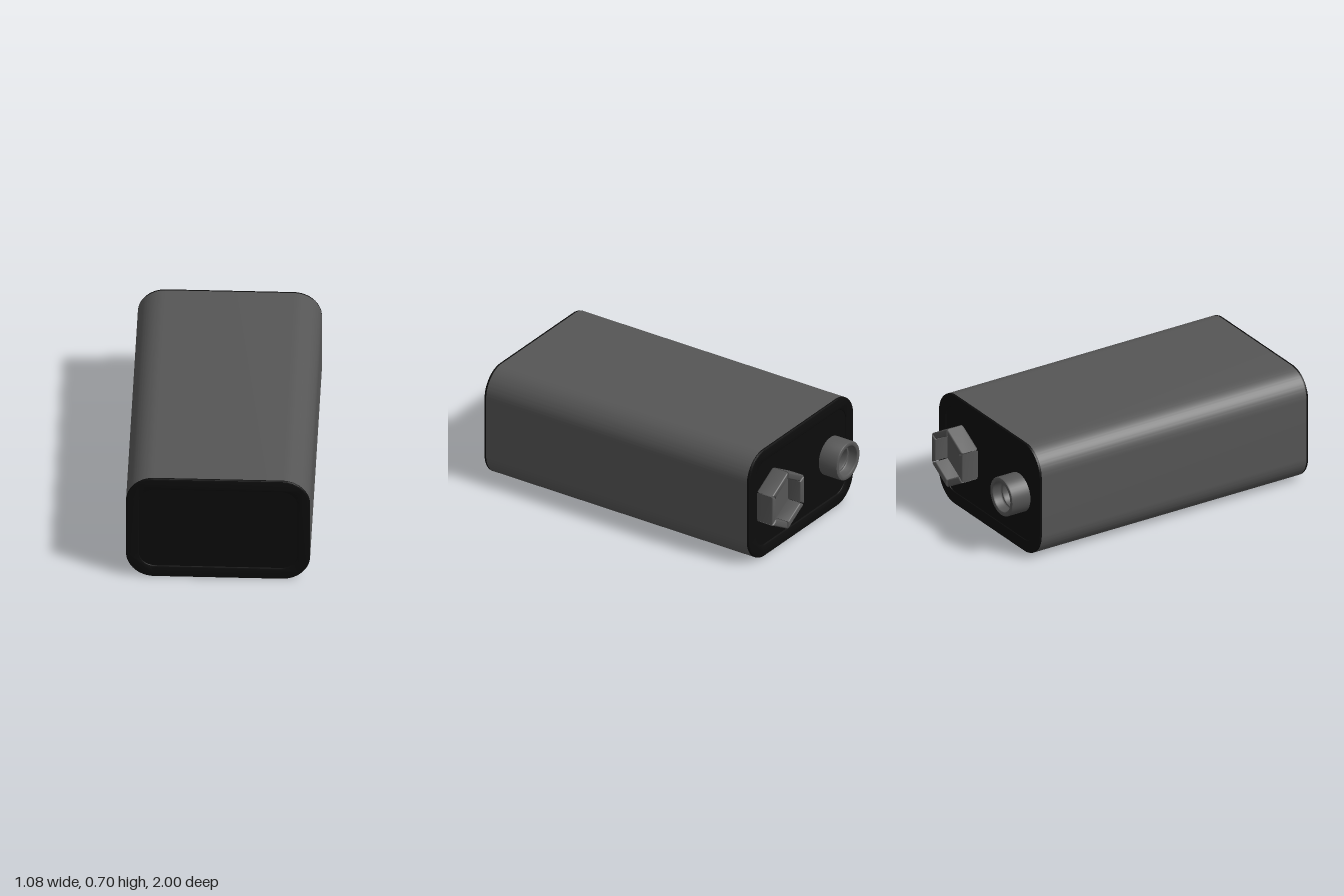
import * as THREE from 'three';
import { toCreasedNormals } from 'three/addons/utils/BufferGeometryUtils.js';

const CY = 0.352; // height of the body axis

// Rounded rectangle outline centred on the origin
function roundedRect(target, w, h, r) {
  const x = w / 2, y = h / 2;
  target.moveTo(-x + r, -y);
  target.lineTo(x - r, -y);
  target.absarc(x - r, -y + r, r, -Math.PI / 2, 0);
  target.lineTo(x, y - r);
  target.absarc(x - r, y - r, r, 0, Math.PI / 2);
  target.lineTo(-x + r, y);
  target.absarc(-x + r, y - r, r, Math.PI / 2, Math.PI);
  target.lineTo(-x, -y + r);
  target.absarc(-x + r, -y + r, r, Math.PI, Math.PI * 1.5);
  return target;
}

// Extrusion from z0 to z1, with bevels kept inside the outline
function slab(shape, z0, z1, bevel = 0, segments = 2) {
  const g = new THREE.ExtrudeGeometry(shape, {
    depth: z1 - z0 - 2 * bevel, curveSegments: 16, bevelEnabled: bevel > 0,
    bevelSize: bevel, bevelThickness: bevel, bevelOffset: -bevel, bevelSegments: segments,
  });
  g.translate(0, 0, z0 + bevel);
  return toCreasedNormals(g, 0.6);
}

export function createModel() {
  const model = new THREE.Group();
  model.name = 'battery';
  const grey = new THREE.MeshStandardMaterial({ color: 0x565656 });
  grey.name = 'grey metal';
  const black = new THREE.MeshStandardMaterial({ color: 0x0c0c0c });
  black.name = 'black plastic';

  const add = (parent, name, geometry, material) => {
    const mesh = new THREE.Mesh(geometry, material);
    mesh.name = name;
    parent.add(mesh);
    return mesh;
  };

  // Sleeve
  const outline = roundedRect(new THREE.Shape(), 1.076, 0.704, 0.165);
  add(model, 'sleeve', slab(outline, -0.865, 0.985), grey).position.y = CY;

  // End caps: a rounded rim around a slightly sunken panel
  const rimShape = roundedRect(new THREE.Shape(), 1.076, 0.704, 0.165);
  rimShape.holes.push(roundedRect(new THREE.Path(), 0.926, 0.55, 0.095));
  const rimGeometry = slab(rimShape, -0.023, 0, 0.008);
  const panelGeometry = slab(roundedRect(new THREE.Shape(), 0.95, 0.574, 0.105), -0.02, -0.007);
  for (const [name, z, turn] of [['frontCap', 1, 0], ['backCap', -0.88, Math.PI]]) {
    const cap = new THREE.Group();
    cap.name = name;
    cap.position.set(0, CY, z);
    cap.rotation.y = turn;
    add(cap, 'capRim', rimGeometry, black);
    add(cap, 'capPanel', panelGeometry, black);
    model.add(cap);
  }

  // Terminals point backwards; inside each group +z is outwards
  const terminal = (name, x) => {
    const group = new THREE.Group();
    group.name = name;
    group.position.set(x, 0.36, -0.873);
    group.rotation.y = Math.PI;
    model.add(group);
    return group;
  };

  // Round terminal: hollow cup with a rolled lip and an inner step
  const round = terminal('roundTerminal', -0.31);
  const cupProfile = [
    [0.12, -0.01], [0.12, 0.119], [0.117, 0.125], [0.112, 0.127], [0.1, 0.127],
    [0.094, 0.124], [0.091, 0.117], [0.091, 0.075], [0.086, 0.068], [0.078, 0.066],
    [0.075, 0.06], [0.075, 0.025], [0, 0.025],
  ].map(([r, h]) => new THREE.Vector2(r, h));
  const cup = new THREE.LatheGeometry(cupProfile, 40);
  cup.rotateX(Math.PI / 2);
  add(round, 'cup', toCreasedNormals(cup, 0.7), grey);

  // Hexagonal terminal: six separate rounded petals around a floor
  const hex = terminal('hexTerminal', 0.287);
  const petalShape = new THREE.Shape([
    [0.124, -0.069], [0.164, -0.0925], [0.164, 0.0925], [0.124, 0.069],
  ].map(([x, y]) => new THREE.Vector2(x, y)));
  const petalGeometry = slab(petalShape, 0, 0.115, 0.013, 4);
  for (let i = 0; i < 6; i++) {
    add(hex, 'petal', petalGeometry, grey).rotation.z = i * Math.PI / 3;
  }
  const floor = new THREE.CylinderGeometry(0.16, 0.16, 0.03, 6);
  floor.rotateX(Math.PI / 2);
  floor.translate(0, 0, 0.012);
  add(hex, 'floor', toCreasedNormals(floor, 0.5), grey);

  // Rivets in the middle of both terminals
  const rivet = new THREE.CylinderGeometry(0.012, 0.014, 0.008, 16);
  rivet.rotateX(Math.PI / 2);
  rivet.translate(0, 0, 0.029);
  for (const group of [round, hex]) add(group, 'rivet', rivet, grey);

  return model;
}
